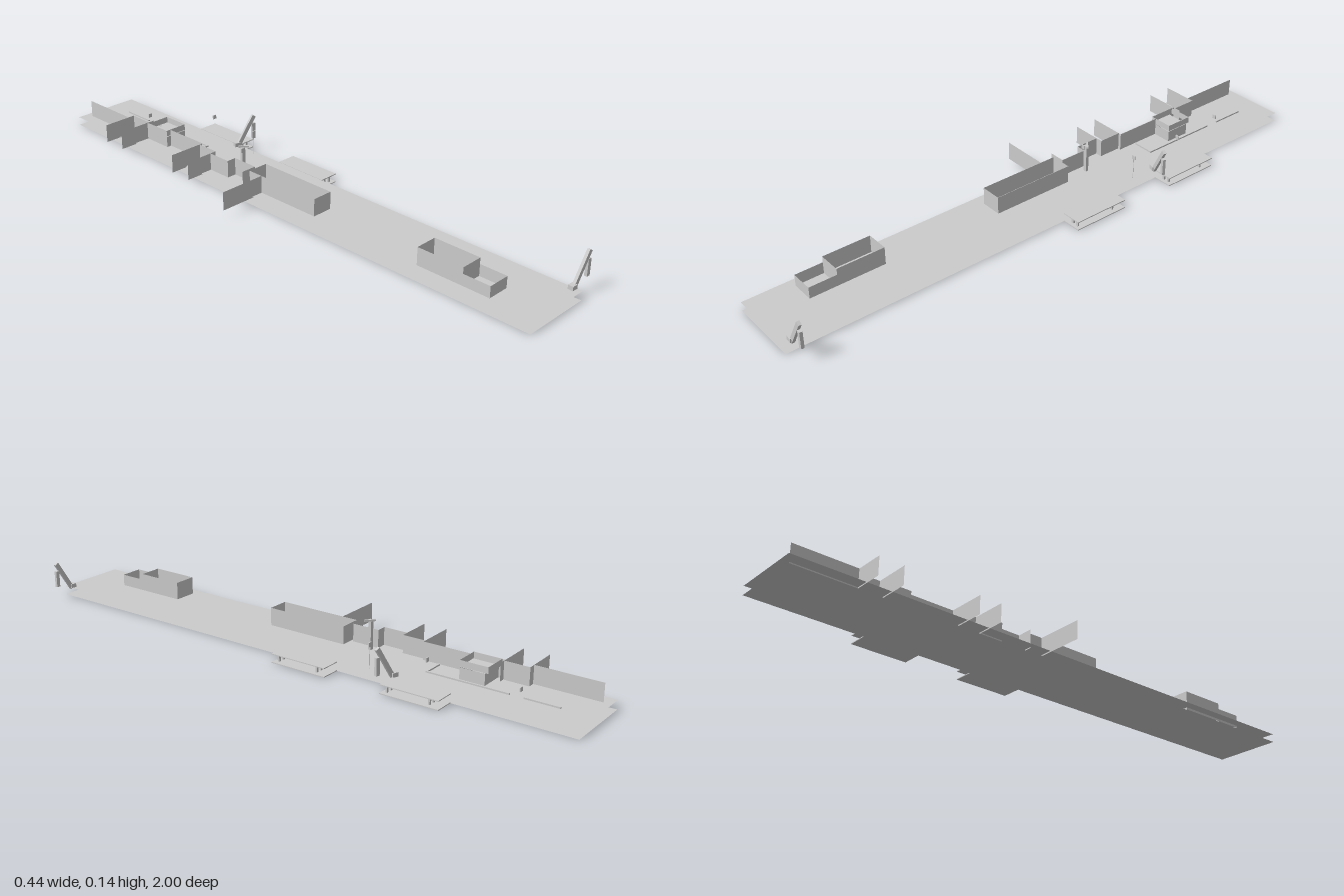
import * as THREE from 'three';

const grey = new THREE.MeshStandardMaterial({ color: 0xcccccc, flatShading: true, side: THREE.DoubleSide });

export function createModel() {
  const model = new THREE.Group();

  const add = (name, geo, x, y, z, parent = model) => {
    const mesh = new THREE.Mesh(geo, grey);
    mesh.name = name;
    mesh.position.set(x, y, z);
    parent.add(mesh);
    return mesh;
  };
  // box given by its extents
  const block = (name, x0, x1, y0, y1, z0, z1, parent = model) =>
    add(name, new THREE.BoxGeometry(x1 - x0, y1 - y0, z1 - z0), (x0 + x1) / 2, (y0 + y1) / 2, (z0 + z1) / 2, parent);
  // flat sheet facing z
  const crossWall = (name, x0, x1, z, y0 = 0.026, y1 = 0.09) =>
    add(name, new THREE.PlaneGeometry(x1 - x0, y1 - y0), (x0 + x1) / 2, (y0 + y1) / 2, z);
  // flat sheet facing x
  const longWall = (name, z0, z1, x, y0 = 0.026, y1 = 0.09) => {
    add(name, new THREE.PlaneGeometry(z1 - z0, y1 - y0), x, (y0 + y1) / 2, (z0 + z1) / 2).rotation.y = Math.PI / 2;
  };
  // four walls, open at the top
  const enclosure = (name, x0, x1, y0, y1, z0, z1) => {
    for (const x of [x0, x1]) longWall(name + 'Side', z0, z1, x, y0, y1);
    for (const z of [z0, z1]) crossWall(name + 'End', x0, x1, z, y0, y1);
  };
  // flat sheet facing up
  const sheet = (name, x0, x1, z0, z1, y) => {
    add(name, new THREE.PlaneGeometry(x1 - x0, z1 - z0), (x0 + x1) / 2, y, (z0 + z1) / 2).rotation.x = -Math.PI / 2;
  };

  // Two long decks
  sheet('lowerDeck', -0.095, 0.15, -1, 1, 0);
  sheet('upperDeck', -0.095, 0.15, -1, 1, 0.03);

  // Side platforms with supports between their slabs
  for (const [z0, z1] of [[-0.6, -0.4], [-0.2, 0]]) {
    block('lowerPlatform', 0.15, 0.218, 0, 0.003, z0, z1);
    block('upperPlatform', 0.15, 0.218, 0.028, 0.031, z0, z1);
    for (const x of [0.178, 0.199])
      for (const z of [z0 + 0.04, z1 - 0.015])
        block('platformSupport', x - 0.004, x + 0.004, 0.003, 0.028, z - 0.003, z + 0.003);
  }

  // Open boxes along the deck
  enclosure('frontBin', -0.063, 0.015, 0.022, 0.09, 0.58, 0.745);
  enclosure('frontLowBin', -0.063, 0.015, 0.022, 0.069, 0.745, 0.84);
  enclosure('middleBin', -0.053, 0.02, 0.03, 0.09, -0.13, 0.16);

  // Transverse partitions: outer x, inner x, z
  const partitions = [
    [-0.22, -0.053, -0.075], [-0.075, -0.02, -0.14], [-0.053, -0.02, -0.235], [-0.153, -0.03, -0.32],
    [-0.153, -0.02, -0.4], [-0.153, -0.01, -0.67], [-0.153, -0.03, -0.755],
  ];
  for (const [x0, x1, z] of partitions) crossWall('partition', x0, x1, z);

  // Lengthwise walls: z range, x
  const walls = [
    [-0.235, -0.14, -0.02], [-0.32, -0.235, -0.053], [-0.4, -0.32, -0.03],
    [-0.565, -0.4, -0.02], [-0.67, -0.565, -0.037], [-0.755, -0.67, -0.03], [-0.975, -0.755, -0.053],
  ];
  for (const [z0, z1, x] of walls) longWall('lengthWall', z0, z1, x);

  // Deck house with an upper rim
  enclosure('deckHouse', -0.037, 0.045, 0.03, 0.068, -0.65, -0.565);
  enclosure('deckHouseRim', -0.037, 0.045, 0.07, 0.091, -0.66, -0.565);
  sheet('deckHouseFloor', -0.037, 0.045, -0.65, -0.565, 0.069);

  // Low rails on the deck
  block('rail', 0.059, 0.064, 0.032, 0.037, -0.9, -0.785);
  block('rail', 0.059, 0.064, 0.032, 0.037, -0.74, -0.465);
  block('railEnd', -0.01, 0.064, 0.032, 0.037, -0.467, -0.462);

  // Small square signs
  for (const [x, y, z] of [[0.137, 0.108, -0.31], [0.137, 0.108, -0.51], [0.06, 0.058, -0.775]])
    block('squarePanel', x - 0.007, x + 0.007, y - 0.007, y + 0.007, z - 0.0015, z + 0.0015);
  block('panelPole', 0.1365, 0.1375, 0.03, 0.101, -0.3105, -0.3095);

  // Mast with a slanted top bar
  block('mast', -0.003, 0.01, 0.03, 0.125, -0.227, -0.217);
  block('mastPanel', -0.01, 0.004, 0.112, 0.127, -0.215, -0.213);
  add('mastBar', new THREE.BoxGeometry(0.035, 0.006, 0.006), 0.008, 0.127, -0.222).rotation.y = -0.7;

  // Cranes
  for (const [z, turn] of [[0.973, -0.05], [-0.4, -0.3]]) {
    const crane = new THREE.Group();
    crane.name = 'crane';
    crane.position.set(0.141, 0, z);
    crane.rotation.y = turn;
    model.add(crane);
    block('craneBase', -0.01, 0.011, 0.03, 0.044, -0.009, 0.009, crane);
    const arm = add('craneArm', new THREE.BoxGeometry(0.014, 0.12, 0.01), 0.035, 0.081, 0, crane);
    arm.rotation.z = -Math.atan2(0.06, 0.1);
    block('craneStrut', 0.058, 0.071, 0.048, 0.105, -0.005, 0.005, crane);
  }
  return model;
}
